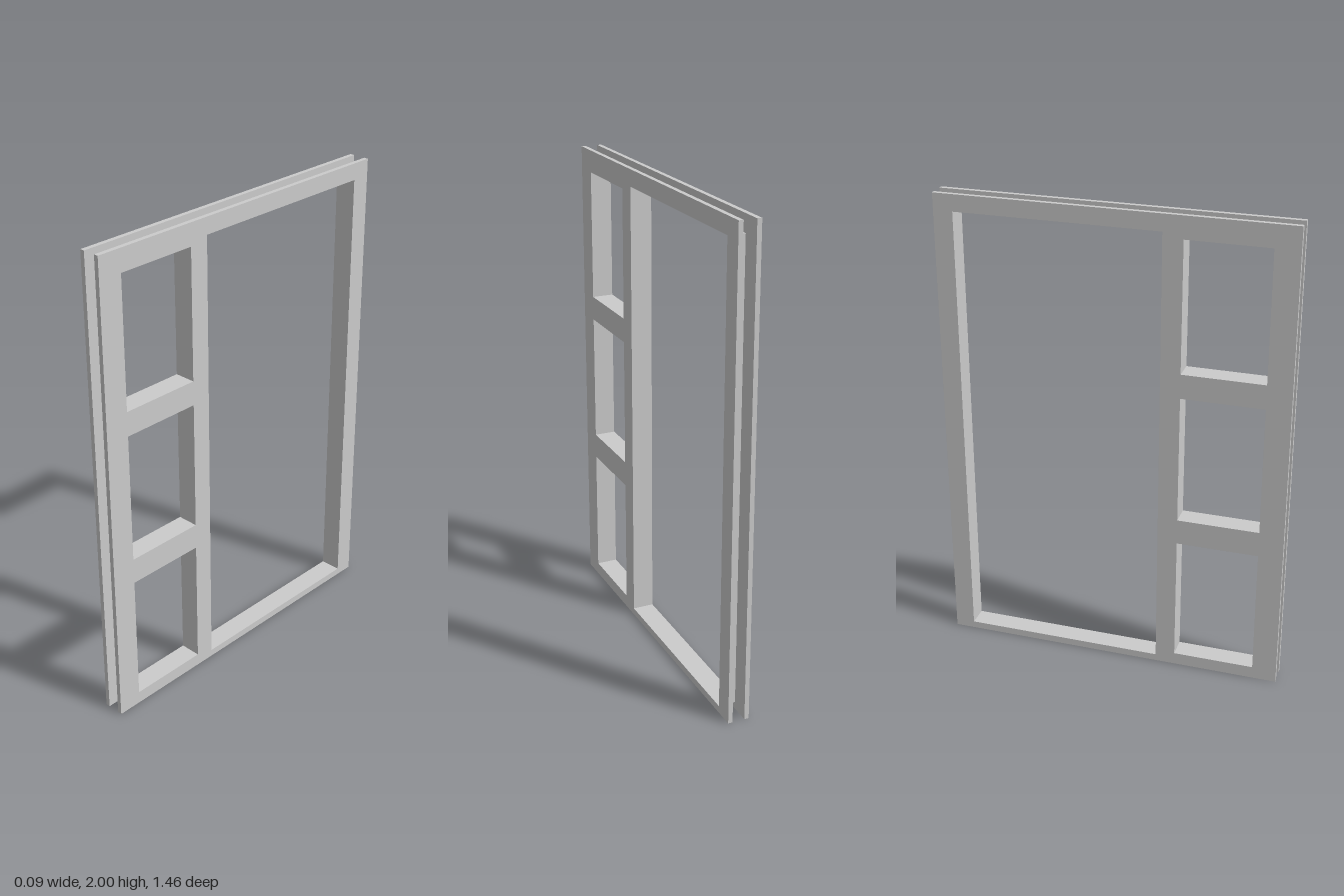
import * as THREE from 'three';

const INNER = 0.026, OUTER = 0.045; // half-gap between the faces, half of full depth
const HEIGHT = 2, HALF_WIDTH = 0.73;

// Openings as [z min, z max, y min, y max]
const openings = [
  ['doorway', -0.648, 0.202, 0.03, 1.93],
  ['lowerWindow', 0.285, 0.628, 0.053, 0.6],
  ['middleWindow', 0.285, 0.628, 0.709, 1.257],
  ['upperWindow', 0.285, 0.628, 1.36, 1.907],
];

function rectangle(path, z0, z1, y0, y1) {
  path.moveTo(z0, y0);
  path.lineTo(z1, y0);
  path.lineTo(z1, y1);
  path.lineTo(z0, y1);
  path.closePath();
  return path;
}

export function createModel() {
  const group = new THREE.Group();
  group.name = 'doorFrame';
  const solid = new THREE.MeshStandardMaterial({ color: 0xcccccc });
  const sheet = new THREE.MeshStandardMaterial({ color: 0xcccccc, side: THREE.DoubleSide });

  // Two matching face frames, one on each side of the wall
  const shape = rectangle(new THREE.Shape(), -HALF_WIDTH, HALF_WIDTH, 0, HEIGHT);
  for (const [, ...edges] of openings) shape.holes.push(rectangle(new THREE.Path(), ...edges));
  const faceGeometry = new THREE.ExtrudeGeometry(shape, { depth: OUTER - INNER, bevelEnabled: false });
  faceGeometry.rotateY(-Math.PI / 2); // outline now lies in z-y, thickness runs to -x
  for (const [name, x] of [['leftFaceFrame', OUTER], ['rightFaceFrame', -INNER]]) {
    const face = new THREE.Mesh(faceGeometry, solid);
    face.name = name;
    face.position.x = x;
    group.add(face);
  }

  // Thin linings bridging the gap around each opening
  for (const [name, z0, z1, y0, y1] of openings) {
    const lining = new THREE.Group();
    lining.name = name + 'Lining';
    const zc = (z0 + z1) / 2, yc = (y0 + y1) / 2;
    const add = (part, length, y, z, turn) => {
      const mesh = new THREE.Mesh(new THREE.PlaneGeometry(2 * INNER, length), sheet);
      mesh.name = part;
      mesh.position.set(0, y, z);
      mesh.rotation.x = turn;
      lining.add(mesh);
    };
    add('sill', z1 - z0, y0, zc, -Math.PI / 2);
    add('head', z1 - z0, y1, zc, Math.PI / 2);
    add('backJamb', y1 - y0, yc, z0, 0);
    add('frontJamb', y1 - y0, yc, z1, Math.PI);
    group.add(lining);
  }
  return group;
}
